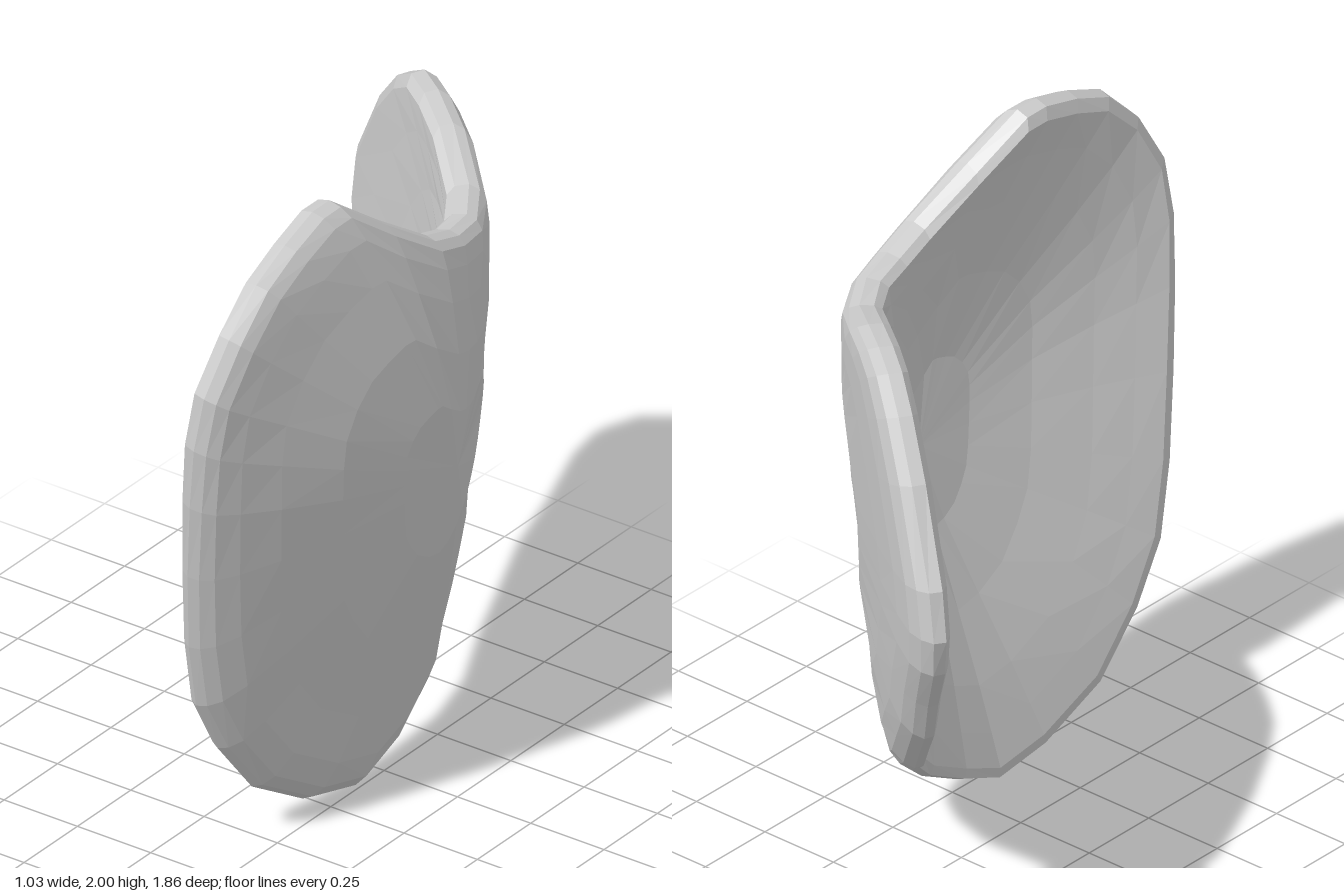
import * as THREE from 'three';

// Smooth interpolation of values v at positions p
function hermite(p, v, t) {
  const n = p.length;
  let i = 0;
  while (i < n - 2 && t > p[i + 1]) i++;
  const slope = (k) => {
    const a = Math.max(0, k - 1), b = Math.min(n - 1, k + 1);
    return (v[b] - v[a]) / (p[b] - p[a]);
  };
  const d = p[i + 1] - p[i];
  const u = Math.min(1, Math.max(0, (t - p[i]) / d));
  const u2 = u * u, u3 = u2 * u;
  return (2 * u3 - 3 * u2 + 1) * v[i] + (u3 - 2 * u2 + u) * d * slope(i)
    + (3 * u2 - 2 * u3) * v[i + 1] + (u3 - u2) * d * slope(i + 1);
}

// Bent middle surface: x for each z station (rows) and height (columns)
const heights = [0, 0.4, 0.8, 1.3, 1.8, 2];
const stations = [-0.95, -0.6, -0.3, -0.05, 0.15, 0.5, 0.93];
const bend = [
  [-0.57, -0.54, -0.53, -0.51, -0.49, -0.49],
  [-0.18, -0.14, -0.10, -0.04, -0.01, -0.01],
  [0.15, 0.18, 0.25, 0.31, 0.32, 0.31],
  [0.22, 0.30, 0.39, 0.44, 0.39, 0.33],
  [0.24, 0.31, 0.40, 0.455, 0.39, 0.32],
  [0.18, 0.23, 0.315, 0.40, 0.36, 0.32],
  [0.08, 0.11, 0.16, 0.25, 0.32, 0.32],
];
const midX = (z, y) => hermite(stations, bend.map((row) => hermite(heights, row, y)), z);

// Heart-like outline as [z, y]
const outline = [
  [0.14, 0], [0.32, 0.04], [0.52, 0.16], [0.66, 0.34], [0.76, 0.52], [0.82, 0.74],
  [0.87, 1.0], [0.91, 1.25], [0.93, 1.45], [0.92, 1.62], [0.84, 1.78], [0.72, 1.9],
  [0.58, 1.96], [0.44, 2], [0.36, 2], [0.2, 1.88], [0.02, 1.76], [-0.1, 1.72],
  [-0.22, 1.705], [-0.35, 1.71], [-0.5, 1.78], [-0.6, 1.8], [-0.68, 1.79], [-0.75, 1.72],
  [-0.83, 1.58], [-0.92, 1.33], [-0.93, 1.18], [-0.9, 1.05], [-0.8, 0.86], [-0.71, 0.68],
  [-0.6, 0.54], [-0.48, 0.39], [-0.34, 0.27], [-0.2, 0.16], [-0.02, 0.06],
];
const centre = [0, 1.05];
const halfThickness = 0.058;

// Point on the plate: s scales the outline, h is the offset along the surface normal
function platePoint([oz, oy], s, h) {
  const z = centre[0] + (oz - centre[0]) * s, y = centre[1] + (oy - centre[1]) * s;
  const e = 0.08;
  const normal = new THREE.Vector3(
    1,
    -(midX(z, y + e) - midX(z, y - e)) / (2 * e),
    -(midX(z + e, y) - midX(z - e, y)) / (2 * e),
  ).normalize();
  return new THREE.Vector3(midX(z, y), y, z).addScaledVector(normal, h * halfThickness);
}

function plateGeometry() {
  // Rings from the outer face over the rim to the inner face:
  // outline scale, offset on the upper rim, offset on the lower edge
  const rings = [
    [0.25, 1, 1], [0.5, 1, 1], [0.72, 1, 1], [0.86, 1, 0.9], [0.94, 0.9, 0.6],
    [0.98, 0.6, 0.15], [1, 0.1, -0.35], [0.995, -0.6, -0.8],
    [0.965, -1, -1], [0.86, -1, -1], [0.72, -1, -1], [0.5, -1, -1], [0.25, -1, -1],
  ];
  const n = outline.length, pos = [], index = [];
  const add = (p) => pos.push(p.x, p.y, p.z);
  for (const [s, upper, lower] of rings) {
    for (const o of outline) {
      const t = THREE.MathUtils.smoothstep(o[1], 0.4, 1.6);
      add(platePoint(o, s, THREE.MathUtils.lerp(lower, upper, t)));
    }
  }
  for (let k = 0; k < rings.length - 1; k++) {
    for (let j = 0; j < n; j++) {
      const a = k * n + j, b = k * n + (j + 1) % n;
      index.push(a, b, a + n, b, b + n, a + n);
    }
  }
  // Close both faces at the middle
  const first = rings.length * n, last = (rings.length - 1) * n;
  add(platePoint(centre, 0, 1));
  add(platePoint(centre, 0, -1));
  for (let j = 0; j < n; j++) {
    const next = (j + 1) % n;
    index.push(first, next, j, first + 1, last + j, last + next);
  }
  // Separate faces give the flat, faceted look
  const g = new THREE.BufferGeometry();
  g.setAttribute('position', new THREE.Float32BufferAttribute(pos, 3));
  g.setIndex(index);
  const flat = g.toNonIndexed();
  flat.computeVertexNormals();
  return flat;
}

export function createModel() {
  const group = new THREE.Group();
  group.name = 'bentPlate';
  const grey = new THREE.MeshStandardMaterial({ color: 0xcccccc });
  grey.name = 'light grey';
  const plate = new THREE.Mesh(plateGeometry(), grey);
  plate.name = 'curvedHeartPlate';
  group.add(plate);
  return group;
}
